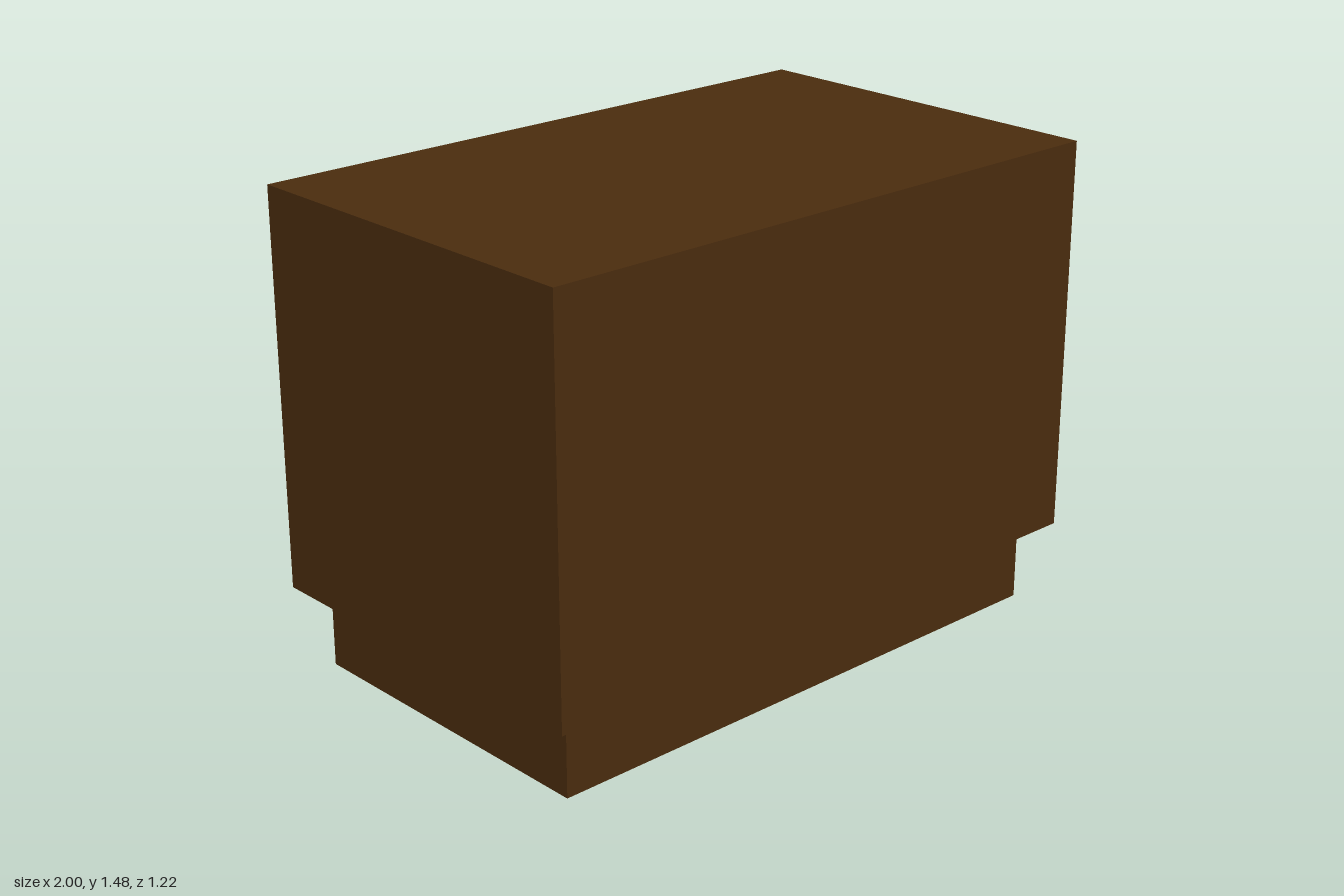
import * as THREE from 'three';

const wood = new THREE.MeshStandardMaterial({ color: 0x4a2c0e });
wood.name = 'dark wood';
const iron = new THREE.MeshStandardMaterial({ color: 0x0e0e0e });
iron.name = 'black iron';

const HALF_DEPTH = 0.612, RECESS = 0.04;
const BOTTOM = 0.25, TOP = 1.475;
const PANEL_Z = -HALF_DEPTH + RECESS; // plane of the recessed doors

function box(name, material, w, h, d, x, y, z) {
  const mesh = new THREE.Mesh(new THREE.BoxGeometry(w, h, d), material);
  mesh.name = name;
  mesh.position.set(x, y, z);
  return mesh;
}

function rectangle(path, x0, y0, x1, y1) {
  path.moveTo(x0, y0);
  path.lineTo(x1, y0);
  path.lineTo(x1, y1);
  path.lineTo(x0, y1);
  path.closePath();
  return path;
}

// Eight-sided ring pull hanging from a small mount
function createHandle() {
  const handle = new THREE.Group();
  handle.name = 'ringHandle';
  for (let i = 0; i < 8; i++) {
    const angle = (i * Math.PI) / 4;
    const diagonal = i % 2 === 1;
    const radius = 0.12;
    const depth = diagonal ? 0.032 : 0.04;
    const segment = box('ringSegment', iron,
      diagonal ? 0.03 : 0.05, diagonal ? 0.085 : 0.115, depth,
      Math.cos(angle) * radius, Math.sin(angle) * radius, -depth / 2);
    segment.rotation.z = angle;
    handle.add(segment);
  }
  handle.add(box('handleMount', iron, 0.115, 0.05, 0.04, 0, 0.145, -0.02));
  return handle;
}

export function createModel() {
  const model = new THREE.Group();
  model.name = 'cabinet';

  // Plinth and carcass
  model.add(box('plinth', wood, 1.84, BOTTOM, 1.064, 0, BOTTOM / 2, 0));
  model.add(box('carcass', wood, 2, TOP - BOTTOM, 2 * HALF_DEPTH - RECESS,
    0, (TOP + BOTTOM) / 2, RECESS / 2));

  // Door frame with two openings, whose floors are the door panels
  const outline = rectangle(new THREE.Shape(), -1, BOTTOM, 1, TOP);
  outline.holes.push(
    rectangle(new THREE.Path(), -0.916, 0.37, -0.06, 1.398),
    rectangle(new THREE.Path(), 0.06, 0.37, 0.916, 1.398));
  const frame = new THREE.Mesh(
    new THREE.ExtrudeGeometry(outline, { depth: RECESS, bevelEnabled: false }), wood);
  frame.name = 'doorFrame';
  frame.position.z = -HALF_DEPTH;
  model.add(frame);

  // One handle on each door
  for (const side of [-1, 1]) {
    const handle = createHandle();
    handle.position.set(side * 0.488, 0.842, PANEL_Z);
    model.add(handle);
  }
  return model;
}
